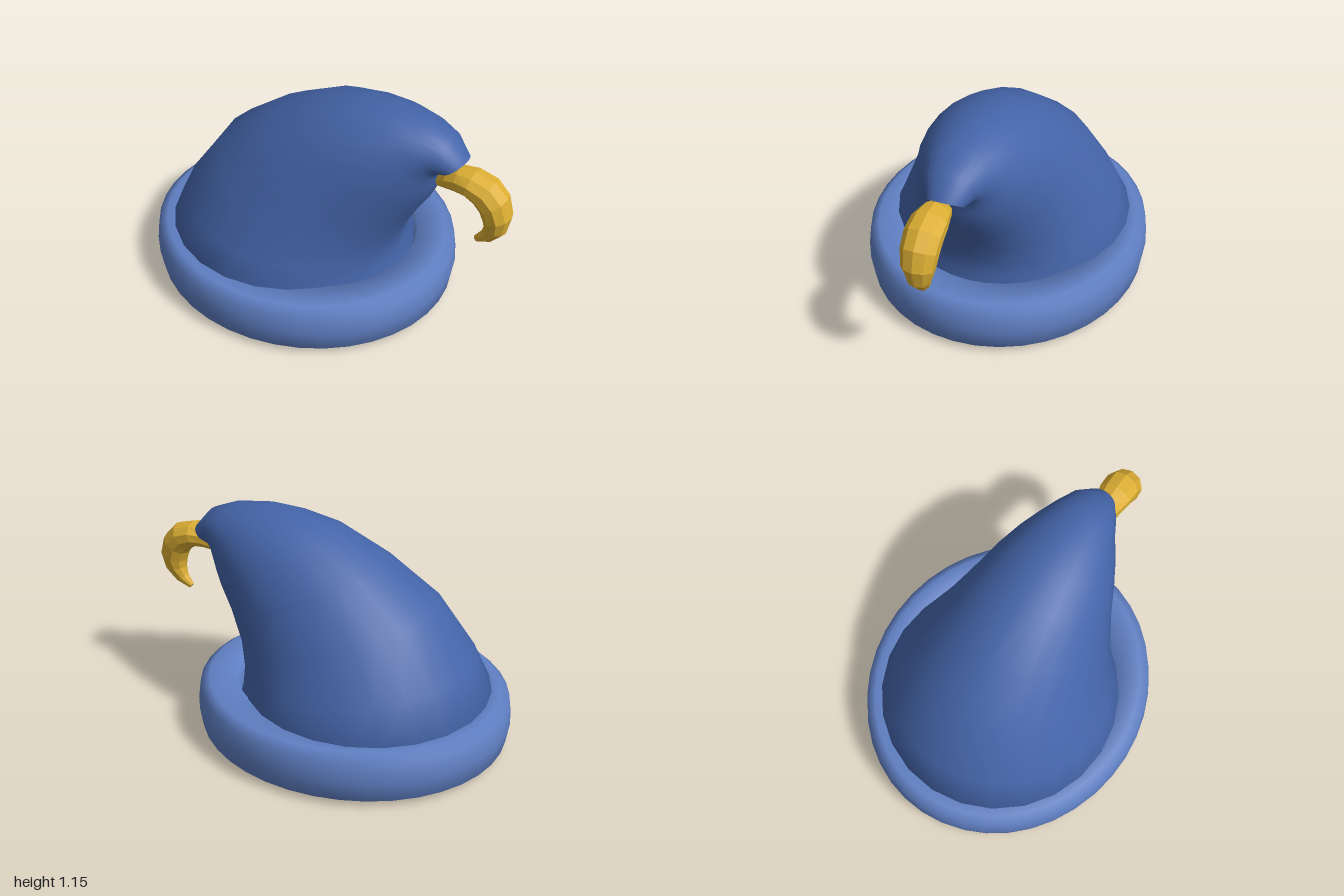
import * as THREE from 'three';
import { toCreasedNormals } from 'three/addons/utils/BufferGeometryUtils.js';

// Elliptical loft: each section is [x1, y1, x2, y2, halfWidth], the two ends of
// its diameter in the xy plane plus its half width along z. Both ends are capped;
// endCap optionally moves the centre of the last cap.
function loft(sections, sides, endCap) {
  const pos = [], index = [];
  for (const [x1, y1, x2, y2, w] of sections) {
    for (let j = 0; j < sides; j++) {
      const t = (j / sides) * Math.PI * 2, c = Math.cos(t) / 2;
      pos.push((x1 + x2) / 2 + (x1 - x2) * c, (y1 + y2) / 2 + (y1 - y2) * c, w * Math.sin(t));
    }
  }
  const n = sections.length, first = n * sides, last = first + 1;
  const centre = ([x1, y1, x2, y2]) => [(x1 + x2) / 2, (y1 + y2) / 2];
  pos.push(...centre(sections[0]), 0, ...(endCap || centre(sections[n - 1])), 0);
  for (let j = 0; j < sides; j++) {
    const k = (j + 1) % sides;
    for (let i = 0; i < n - 1; i++) {
      const a = i * sides + j, b = i * sides + k;
      index.push(a, b, b + sides, a, b + sides, a + sides);
    }
    index.push(first, k, j, last, (n - 1) * sides + j, (n - 1) * sides + k);
  }
  const geo = new THREE.BufferGeometry();
  geo.setAttribute('position', new THREE.Float32BufferAttribute(pos, 3));
  geo.setIndex(index);
  geo.computeVertexNormals();
  return geo;
}

export function createModel() {
  const group = new THREE.Group();
  const add = (name, geo, color, flatShading = false) => {
    const mesh = new THREE.Mesh(geo, new THREE.MeshStandardMaterial({ color, flatShading }));
    mesh.name = name;
    group.add(mesh);
    return mesh;
  };

  // Brim: bevelled oval ring with an open middle
  const profile = [
    [0.6, 0.16], [0.6, 0.05], [0.65, 0], [0.77, 0], [0.82, 0.035], [0.835, 0.14],
    [0.82, 0.245], [0.77, 0.28], [0.62, 0.28], [0.6, 0.16],
  ].map(([r, y]) => new THREE.Vector2(r, y));
  const brim = add('brim', new THREE.LatheGeometry(profile, 40), 0x6080c4);
  brim.scale.z = 0.9;
  brim.position.x = -0.165;

  // Crown: bent cone drooping towards +x, closed underneath, dented at the tip
  const crown = loft([
    [-0.83, 0.14, 0.44, 0.14, 0.62],
    [-0.89, 0.28, 0.40, 0.28, 0.635],
    [-0.80, 0.47, 0.40, 0.36, 0.575],
    [-0.60, 0.75, 0.43, 0.46, 0.48],
    [-0.33, 0.95, 0.50, 0.60, 0.385],
    [-0.05, 1.09, 0.56, 0.70, 0.315],
    [0.15, 1.135, 0.59, 0.765, 0.265],
    [0.33, 1.15, 0.605, 0.82, 0.215],
    [0.52, 1.13, 0.61, 0.86, 0.165],
    [0.65, 1.08, 0.615, 0.885, 0.13],
    [0.74, 0.98, 0.63, 0.895, 0.09],
  ], 24, [0.64, 0.97]);
  add('crown', toCreasedNormals(crown, 1.0), 0x4464a8);

  // Claw: faceted hooked ornament hanging from the tip
  const claw = loft([
    [0.61, 0.87, 0.62, 0.82, 0.03],
    [0.66, 0.93, 0.67, 0.83, 0.06],
    [0.72, 0.96, 0.72, 0.835, 0.075],
    [0.80, 0.965, 0.77, 0.835, 0.09],
    [0.90, 0.94, 0.815, 0.81, 0.093],
    [0.97, 0.87, 0.845, 0.775, 0.09],
    [1.00, 0.77, 0.865, 0.725, 0.08],
    [0.98, 0.67, 0.87, 0.685, 0.058],
    [0.92, 0.60, 0.86, 0.64, 0.035],
    [0.845, 0.565, 0.825, 0.59, 0.015],
  ], 10);
  add('claw', claw, 0xdcae33, true).position.z = 0.035;

  return group;
}
